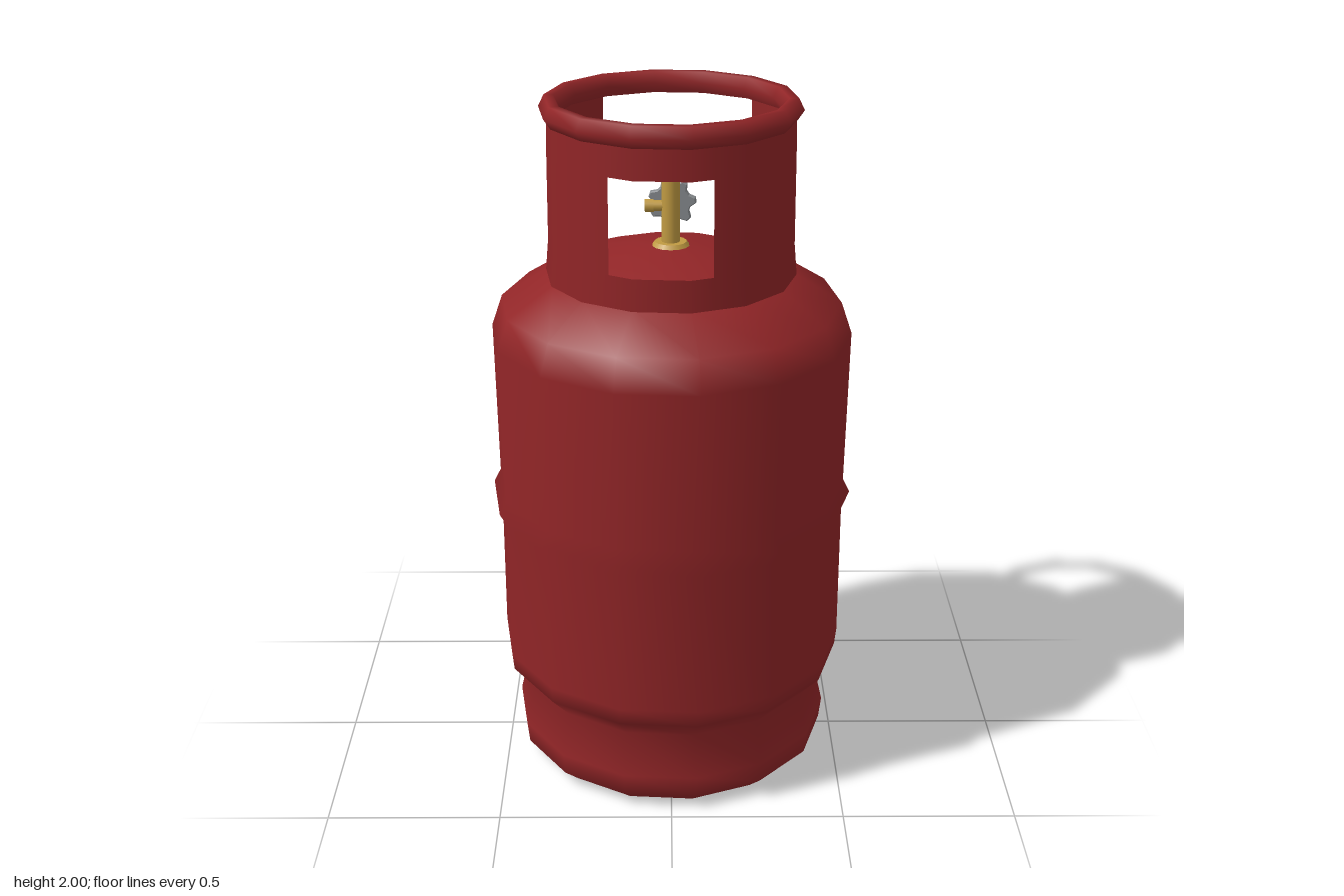
import * as THREE from 'three';

const SIDES = 14;
const STEP = (Math.PI * 2) / SIDES;
const START = STEP / 3;

const red = new THREE.MeshStandardMaterial({ color: 0x912527, side: THREE.DoubleSide });
red.name = 'red paint';
const brass = new THREE.MeshStandardMaterial({ color: 0xc09a42 });
brass.name = 'brass';
const grey = new THREE.MeshStandardMaterial({ color: 0x868a8d });
grey.name = 'grey metal';

function add(parent, name, geometry, material, x = 0, y = 0, z = 0) {
  const mesh = new THREE.Mesh(geometry, material);
  mesh.name = name;
  mesh.position.set(x, y, z);
  parent.add(mesh);
  return mesh;
}

function lathe(profile) {
  return new THREE.LatheGeometry(profile.map(([r, y]) => new THREE.Vector2(r, y)), SIDES, START);
}

// Faceted collar wall, open at the back, with a window cut in the front
function collarWall() {
  const windowLeft = -1.48, windowRight = 0.42;
  const columns = [-6, -5, -4, -3, -2, windowLeft, -1, 0, windowRight, 1, 2, 3, 4, 5];
  const rows = [[0.357, 1.48], [0.347, 1.59], [0.345, 1.855], [0.343, 1.96]];
  const positions = [], normals = [], index = [];
  for (const [r, y] of rows) {
    for (const k of columns) {
      const k0 = Math.floor(k), t = k - k0;
      const a = START + k0 * STEP, b = a + STEP, mid = START + k * STEP;
      positions.push(
        r * THREE.MathUtils.lerp(Math.sin(a), Math.sin(b), t), y,
        r * THREE.MathUtils.lerp(Math.cos(a), Math.cos(b), t));
      normals.push(Math.sin(mid), 0, Math.cos(mid));
    }
  }
  const n = columns.length;
  for (let j = 0; j < rows.length - 1; j++) {
    for (let i = 0; i < n - 1; i++) {
      if (j === 1 && columns[i] >= windowLeft && columns[i] < windowRight) continue;
      const p = j * n + i;
      index.push(p, p + 1, p + n + 1, p, p + n + 1, p + n);
    }
  }
  const g = new THREE.BufferGeometry();
  g.setAttribute('position', new THREE.Float32BufferAttribute(positions, 3));
  g.setAttribute('normal', new THREE.Float32BufferAttribute(normals, 3));
  g.setIndex(index);
  return g;
}

// Lobed handwheel, facing z
function wheelGeometry() {
  const shape = new THREE.Shape();
  const lobes = 7, steps = lobes * 4;
  for (let i = 0; i < steps; i++) {
    const a = (i / steps) * Math.PI * 2;
    const r = i % 4 < 2 ? 0.068 : 0.053;
    if (i === 0) shape.moveTo(r, 0);
    else shape.lineTo(r * Math.cos(a), r * Math.sin(a));
  }
  const g = new THREE.ExtrudeGeometry(shape, {
    depth: 0.014, bevelEnabled: true, bevelThickness: 0.004, bevelSize: 0.003, bevelOffset: -0.003, bevelSegments: 1,
  });
  g.translate(0, 0, -0.007);
  return g;
}

export function createModel() {
  const model = new THREE.Group();
  model.name = 'gasCylinder';

  // Hollow foot, tank, weld band, shoulder and domed top
  add(model, 'tank', lathe([
    [0, 0.34], [0.40, 0.34], [0.425, 0.24], [0.435, 0.1], [0.40, 0.0],
    [0.415, 0.0], [0.465, 0.045], [0.472, 0.11], [0.442, 0.24],
    [0.505, 0.31], [0.51, 0.36], [0.508, 0.79], [0.53, 0.83], [0.51, 0.87],
    [0.516, 1.33], [0.485, 1.42], [0.35, 1.505], [0.27, 1.535], [0.12, 1.575], [0, 1.585],
  ]), red);

  // Protective collar and its rolled rim
  add(model, 'collar', collarWall(), red);
  add(model, 'collarRim', lathe([
    [0.322, 1.94], [0.345, 1.94], [0.364, 1.968], [0.348, 2.0],
    [0.322, 2.0], [0.307, 1.97], [0.322, 1.94],
  ]), red);

  // Valve
  const valve = new THREE.Group();
  valve.name = 'valve';
  model.add(valve);
  add(valve, 'valveBase', new THREE.CylinderGeometry(0.045, 0.055, 0.014, 14), brass, 0, 1.585, 0);
  add(valve, 'valveStem', new THREE.CylinderGeometry(0.026, 0.026, 0.19, 16), brass, 0, 1.675, 0);
  add(valve, 'valveOutlet', new THREE.CylinderGeometry(0.015, 0.015, 0.07, 12), brass, -0.035, 1.693, -0.004)
    .rotation.z = Math.PI / 2;
  add(valve, 'outletNut', new THREE.CylinderGeometry(0.019, 0.019, 0.025, 12), brass, -0.06, 1.693, -0.004)
    .rotation.z = Math.PI / 2;

  // Handwheel behind the stem
  const wheel = new THREE.Group();
  wheel.name = 'handwheel';
  wheel.position.set(0.004, 1.693, -0.042);
  wheel.rotation.y = -0.1;
  valve.add(wheel);
  add(wheel, 'wheelDisc', wheelGeometry(), grey);
  add(wheel, 'wheelHub', new THREE.CylinderGeometry(0.018, 0.018, 0.036, 12), grey).rotation.x = Math.PI / 2;

  return model;
}
